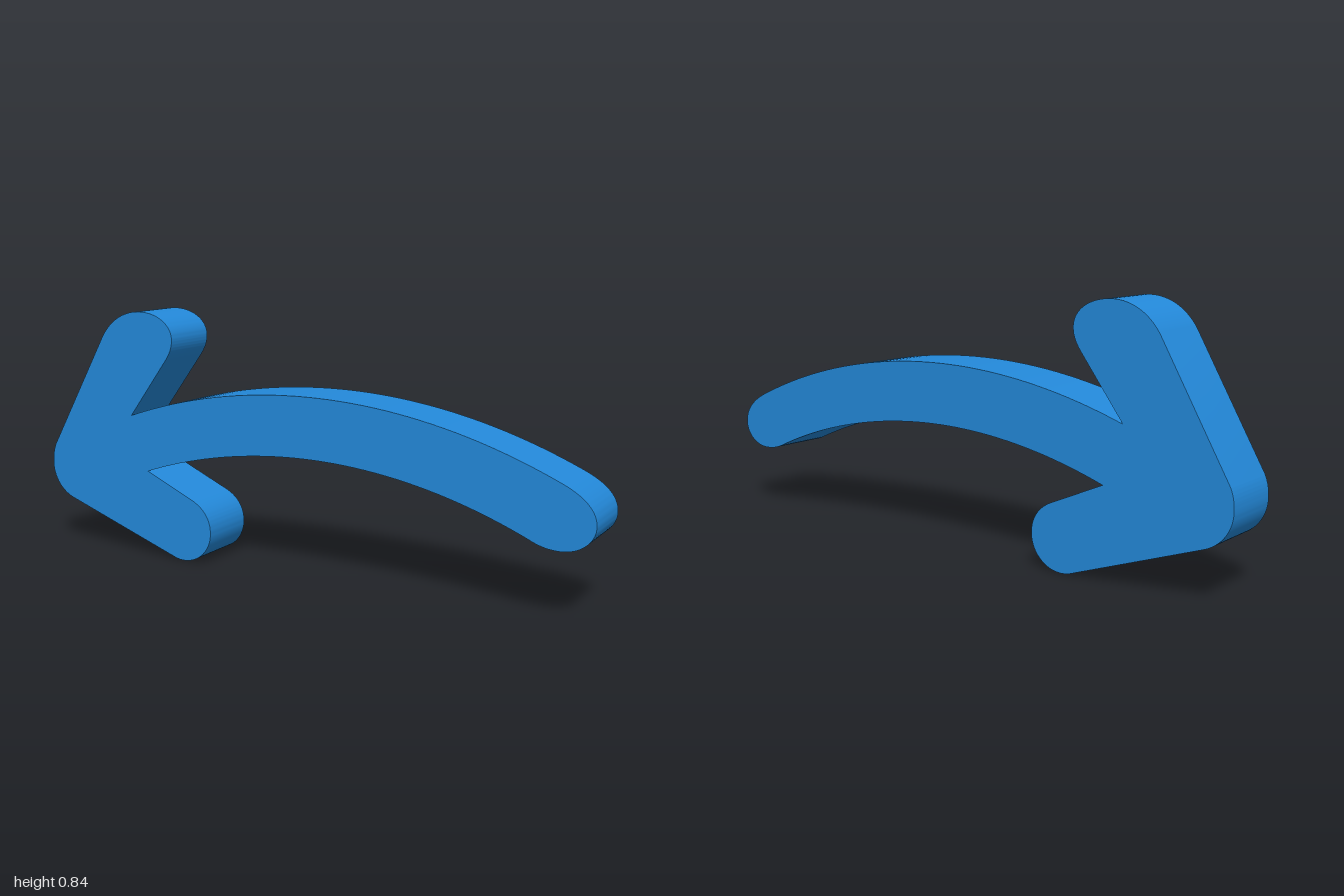
import * as THREE from 'three';
import { toCreasedNormals } from 'three/addons/utils/BufferGeometryUtils.js';

const DEPTH = 0.208;
const ARC = { x: 0.045, y: -1.457, outer: 2.06, inner: 1.86 };

// Angle on an arc of the shaft at a given x
const angleAt = (x, r) => Math.acos((x - ARC.x) / r);

function arrowOutline() {
  const s = new THREE.Shape();
  // upper barb: outer edge, rounded end, inner edge
  s.moveTo(-0.985, 0.355);
  s.lineTo(-0.757, 0.75);
  s.bezierCurveTo(-0.72, 0.81, -0.66, 0.843, -0.595, 0.843);
  s.bezierCurveTo(-0.52, 0.843, -0.463, 0.805, -0.463, 0.755);
  s.bezierCurveTo(-0.463, 0.73, -0.472, 0.71, -0.49, 0.685);
  // top of the curved shaft
  s.absarc(ARC.x, ARC.y, ARC.outer, angleAt(-0.64, ARC.outer), angleAt(0.9, ARC.outer), true);
  // rounded tail
  s.bezierCurveTo(0.962, 0.388, 1.0, 0.352, 1.0, 0.305);
  s.bezierCurveTo(1.0, 0.258, 0.953, 0.22, 0.895, 0.22);
  s.bezierCurveTo(0.865, 0.22, 0.84, 0.225, 0.81, 0.238);
  // underside of the shaft
  s.absarc(ARC.x, ARC.y, ARC.inner, angleAt(0.81, ARC.inner), angleAt(-0.575, ARC.inner), false);
  // lower barb: inner edge, rounded end, outer edge
  s.lineTo(-0.385, 0.212);
  s.bezierCurveTo(-0.342, 0.19, -0.318, 0.155, -0.318, 0.11);
  s.bezierCurveTo(-0.318, 0.05, -0.368, 0, -0.43, 0);
  s.bezierCurveTo(-0.447, 0, -0.46, 0.003, -0.478, 0.01);
  s.lineTo(-0.91, 0.163);
  // rounded tip
  s.bezierCurveTo(-0.965, 0.182, -1.0, 0.23, -1.0, 0.285);
  s.bezierCurveTo(-1.0, 0.31, -0.996, 0.333, -0.985, 0.355);
  return s;
}

export function createModel() {
  const group = new THREE.Group();
  group.name = 'curvedArrow';

  const geometry = new THREE.ExtrudeGeometry(arrowOutline(), {
    depth: DEPTH, bevelEnabled: false, curveSegments: 20,
  });
  geometry.translate(0, 0, -DEPTH / 2);

  const arrow = new THREE.Mesh(
    toCreasedNormals(geometry, Math.PI / 6),
    new THREE.MeshStandardMaterial({ color: 0x2389da })
  );
  arrow.name = 'arrow';
  group.add(arrow);
  return group;
}
